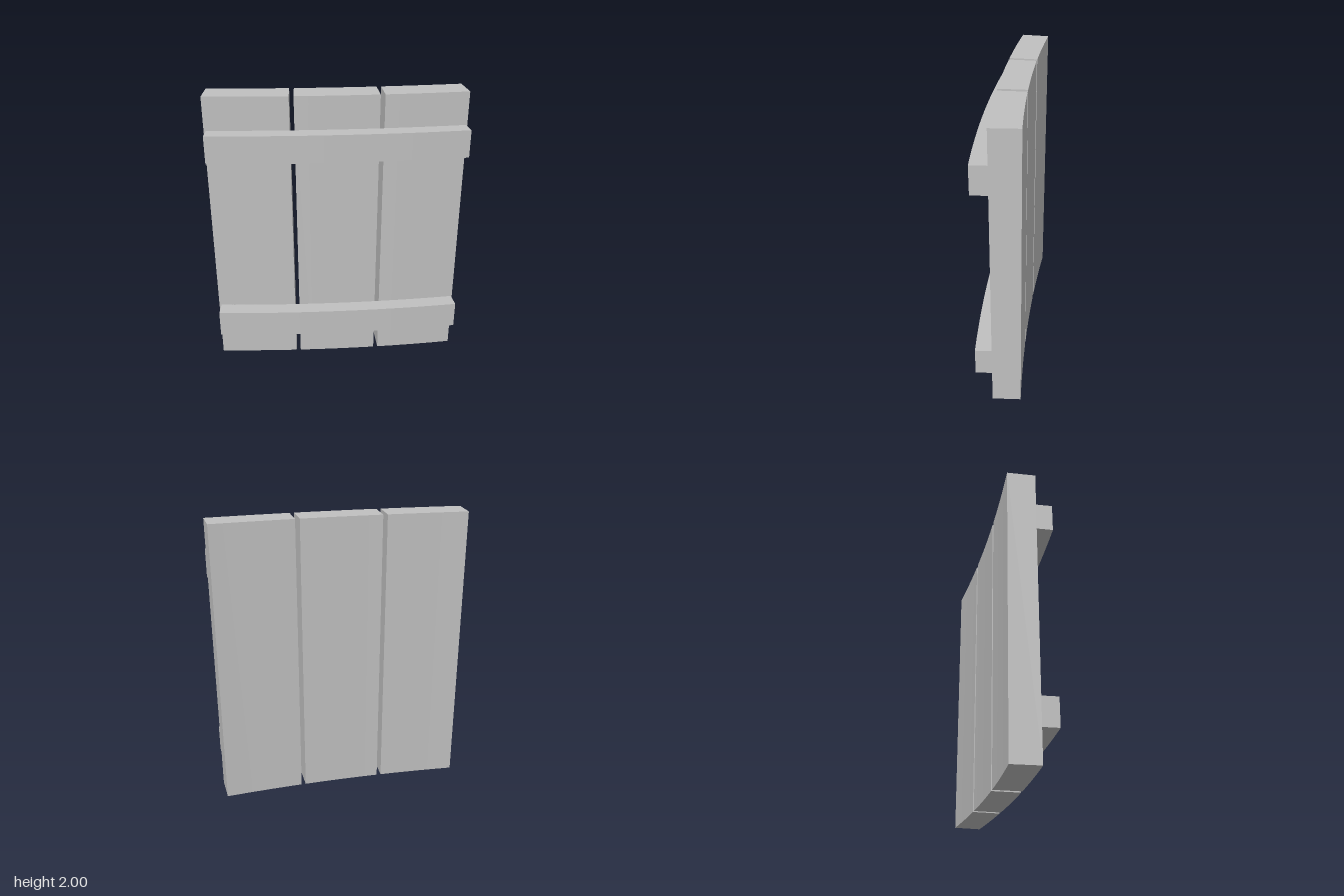
import * as THREE from 'three';

// All parts are slices of one gentle cylinder wall, centred on the right-hand edge.
const CENTRE_X = 0.872;
const R = 10.94;            // radius where boards meet battens
const CENTRE_Z = 0.108 - R;

// Curved plank: ring sector seen in plan, extruded upwards.
function curvedPlank(rInner, rOuter, a0, a1, y, height, segments) {
  const point = (r, a) => new THREE.Vector2(
    CENTRE_X - r * Math.sin(a), -(CENTRE_Z + r * Math.cos(a)));
  const points = [];
  for (let i = 0; i <= segments; i++) points.push(point(rOuter, a0 + (a1 - a0) * i / segments));
  for (let i = segments; i >= 0; i--) points.push(point(rInner, a0 + (a1 - a0) * i / segments));
  const geometry = new THREE.ExtrudeGeometry(new THREE.Shape(points), {
    depth: height, bevelEnabled: false });
  geometry.rotateX(-Math.PI / 2);
  geometry.translate(0, y, 0);
  return geometry;
}

export function createModel() {
  const group = new THREE.Group();
  group.name = 'curvedPlankPanel';
  const grey = new THREE.MeshStandardMaterial({ color: 0xc0c0c0, flatShading: true });
  grey.name = 'light grey';

  const add = (name, geometry) => {
    const mesh = new THREE.Mesh(geometry, grey);
    mesh.name = name;
    group.add(mesh);
  };

  // Three upright boards with narrow gaps
  const boardAngle = 0.0514, gapAngle = 0.00285;
  ['leftBoard', 'middleBoard', 'rightBoard'].forEach((name, i) => {
    const a = i * (boardAngle + gapAngle);
    add(name, curvedPlank(R - 0.191, R, a, a + boardAngle, 0, 2, 6));
  });

  // Two battens across the front
  add('lowerBatten', curvedPlank(R, R + 0.11, 0.0006, 0.1585, 0.228, 0.191, 18));
  add('upperBatten', curvedPlank(R, R + 0.11, 0.0006, 0.1585, 1.581, 0.191, 18));

  return group;
}
